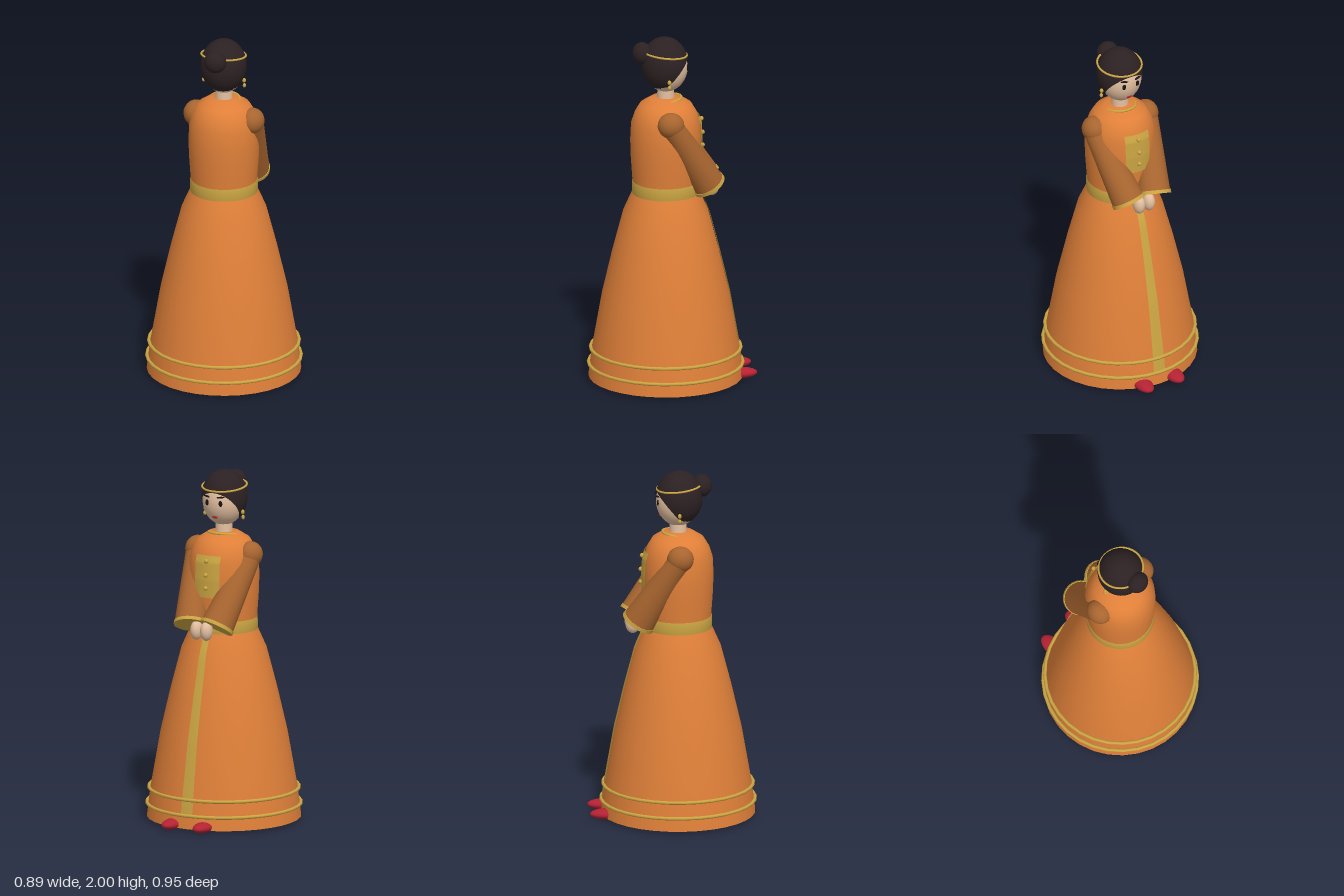
import * as THREE from 'three';

const mat = (name, color, side = THREE.FrontSide) => {
  const m = new THREE.MeshStandardMaterial({ color, side });
  m.name = name;
  return m;
};

export function createModel() {
  const orange = mat('orange dress', 0xe08039);
  const brown = mat('brown sleeve', 0xa8652f);
  const gold = mat('gold trim', 0xcba543, THREE.DoubleSide);
  const skin = mat('skin', 0xe3bf9f);
  const hairColor = mat('dark hair', 0x2c2122, THREE.DoubleSide);
  const black = mat('black', 0x171214);
  const red = mat('red', 0xb42233);

  const model = new THREE.Group();
  model.name = 'ladyInLongDress';
  const CZ = 0.03; // z of the body axis

  const add = (name, geo, material, x = 0, y = 0, z = CZ) => {
    const m = new THREE.Mesh(geo, material);
    m.name = name;
    m.position.set(x, y, z);
    model.add(m);
    return m;
  };
  const ellipsoid = (rx, ry, rz, w = 20, h = 14) => new THREE.SphereGeometry(1, w, h).scale(rx, ry, rz);
  const lathe = (pts) => new THREE.LatheGeometry(pts.map(([r, y]) => new THREE.Vector2(r, y)), 32);
  const ring = (r, tube) => new THREE.TorusGeometry(r, tube, 8, 32).rotateX(Math.PI / 2);

  // radius of a [r, y] profile at height y
  const radiusAt = (pts, y) => {
    for (let i = 1; i < pts.length; i++) {
      const [r0, y0] = pts[i - 1], [r1, y1] = pts[i];
      if (y <= y1) return r0 + (r1 - r0) * (y - y0) / (y1 - y0);
    }
    return pts[pts.length - 1][0];
  };

  // thin cloth panel wrapped on the -z side of a lathed profile
  const wrappedPanel = (profile, yTop, yBottom, halfWidth, lift) => {
    const g = new THREE.PlaneGeometry(2, 1, 8, 24);
    const p = g.attributes.position;
    for (let i = 0; i < p.count; i++) {
      const t = 0.5 - p.getY(i);
      const y = yTop + (yBottom - yTop) * t;
      const r = radiusAt(profile, y) + lift;
      const a = -p.getX(i) * halfWidth(t) / r;
      p.setXYZ(i, r * Math.sin(a), y, -r * Math.cos(a));
    }
    g.computeVertexNormals();
    return g;
  };

  // Skirt
  const skirt = [[0.435, 0.012], [0.415, 0.175], [0.358, 0.5], [0.3, 0.75], [0.24, 0.98], [0.187, 1.1]];
  add('skirt', lathe(skirt), orange);
  add('skirtUnderside', new THREE.CircleGeometry(0.435, 32).rotateX(Math.PI / 2), orange, 0, 0.012);
  add('lowerHemBand', ring(0.434, 0.01), gold, 0, 0.088);
  add('upperHemBand', ring(0.423, 0.01), gold, 0, 0.177);
  add('skirtStripe', wrappedPanel(skirt, 1.09, 0.09, (t) => 0.02 + 0.017 * t, 0.005), gold);

  // Bodice, sash and chest panel
  const bodice = [[0.183, 1.1], [0.19, 1.2], [0.197, 1.3], [0.2, 1.4], [0.195, 1.5], [0.175, 1.56],
    [0.145, 1.61], [0.085, 1.648], [0, 1.652]];
  add('bodice', lathe(bodice), orange);
  add('sash', lathe([[0.18, 1.088], [0.191, 1.09], [0.19, 1.16], [0.18, 1.162]]), gold);
  add('chestPanel', wrappedPanel(bodice, 1.54, 1.3, (t) => t < 0.75 ? 0.08 : 0.08 - (t - 0.75) * 0.16, 0.008), gold);
  for (const y of [1.51, 1.43, 1.355])
    add('button', ellipsoid(0.013, 0.013, 0.013, 10, 8), gold, 0, y, CZ - radiusAt(bodice, y) - 0.012);
  add('collar', ring(0.088, 0.008), gold, 0, 1.636).rotation.x = 0.13;

  // Neck, head and hair
  add('neck', new THREE.CylinderGeometry(0.046, 0.05, 0.09, 20), skin, 0, 1.675);
  add('head', ellipsoid(0.12, 0.147, 0.125, 28, 20), skin, 0, 1.83);
  add('hair', new THREE.SphereGeometry(1, 32, 20, 0, Math.PI * 2, 0, 2.1)
    .rotateX(0.8).scale(0.13, 0.155, 0.133), hairColor, 0, 1.845, 0.036);
  add('bun', ellipsoid(0.064, 0.064, 0.056), hairColor, 0, 1.912, 0.165);
  add('headband', ring(0.126, 0.006), gold, 0, 1.91, 0.036).rotation.x = -0.12;
  add('mouth', ellipsoid(0.018, 0.007, 0.005, 12, 8), red, 0, 1.745, -0.073);

  for (const s of [-1, 1]) {
    // Face details
    add('eye', ellipsoid(0.012, 0.017, 0.006, 12, 8), black, s * 0.043, 1.828, -0.087);
    const brow = add('eyebrow', ellipsoid(0.024, 0.005, 0.007, 12, 8), black, s * 0.044, 1.865, -0.09);
    brow.rotation.set(0, s * -0.3, s * 0.1);
    add('earring', ellipsoid(0.011, 0.014, 0.011, 10, 8), gold, s * 0.121, 1.768);
    add('earringDrop', ellipsoid(0.01, 0.013, 0.01, 10, 8), gold, s * 0.123, 1.738);

    // Flared sleeve from shoulder to cuff
    const shoulder = new THREE.Vector3(s * 0.17, 1.53, CZ);
    const wrist = new THREE.Vector3(s * 0.083, 1.148, -0.198);
    add('shoulder', ellipsoid(0.069, 0.074, 0.076), brown, ...shoulder);
    const arm = new THREE.Group();
    arm.name = 'sleeve';
    arm.position.copy(shoulder);
    const dir = wrist.clone().sub(shoulder);
    const len = dir.length();
    arm.quaternion.setFromUnitVectors(new THREE.Vector3(0, -1, 0), dir.normalize());
    const cone = new THREE.Mesh(new THREE.CylinderGeometry(0.064, 0.095, len, 24, 1, true), brown);
    cone.name = 'sleeveCloth';
    cone.position.y = -len / 2;
    const cuff = new THREE.Mesh(new THREE.CylinderGeometry(0.098, 0.099, 0.02, 24), gold);
    cuff.name = 'cuff';
    cuff.position.y = -len;
    arm.add(cone, cuff);
    model.add(arm);

    // Hand and shoe
    add('hand', ellipsoid(0.034, 0.056, 0.042), skin, s * 0.032, 1.122, -0.228);
    add('shoe', ellipsoid(0.05, 0.03, 0.095), red, s * 0.1, 0.03, -0.38);
  }
  return model;
}
